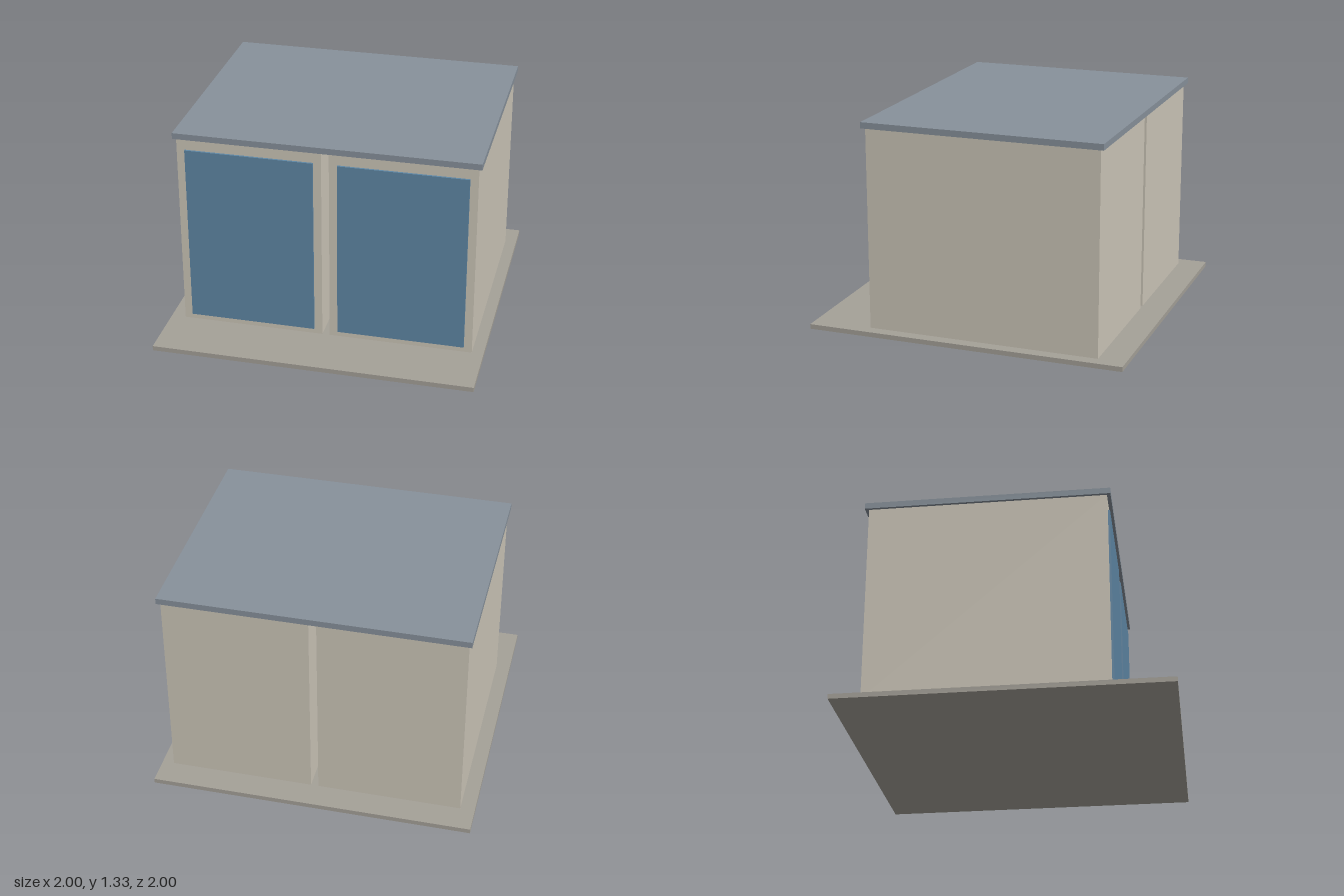
import * as THREE from 'three';

export function createModel() {
  const model = new THREE.Group();
  model.name = 'twinGarage';

  const mat = (name, color) => {
    const m = new THREE.MeshStandardMaterial({ color });
    m.name = name;
    return m;
  };
  const concrete = mat('concrete grey', 0xa5a198);
  const wall = mat('warm beige', 0xccc6b8);
  const roofing = mat('slate grey', 0x87919b);
  const doorBlue = mat('door blue', 0x5f87a5);

  // Box given by its minimum and maximum corners
  const box = (name, material, [x0, y0, z0], [x1, y1, z1], parent = model) => {
    const mesh = new THREE.Mesh(new THREE.BoxGeometry(x1 - x0, y1 - y0, z1 - z0), material);
    mesh.position.set((x0 + x1) / 2, (y0 + y1) / 2, (z0 + z1) / 2);
    mesh.name = name;
    parent.add(mesh);
  };

  // Ground slab
  box('baseSlab', concrete, [-1, 0, -1], [1, 0.03, 1]);

  // Two separate units with an open gap between them, each with a front door
  [['rightUnit', -0.91], ['leftUnit', 0.032]].forEach(([name, x]) => {
    const unit = new THREE.Group();
    unit.name = name;
    box('body', wall, [x, 0.03, -0.83], [x + 0.895, 1.287, 0.625], unit);
    box('door', doorBlue, [x + 0.052, 0.067, 0.625], [x + 0.845, 1.213, 0.638], unit);
    model.add(unit);
  });

  // Shared flat roof with a small overhang
  box('roof', roofing, [-0.928, 1.287, -0.853], [0.947, 1.325, 0.647]);

  return model;
}
